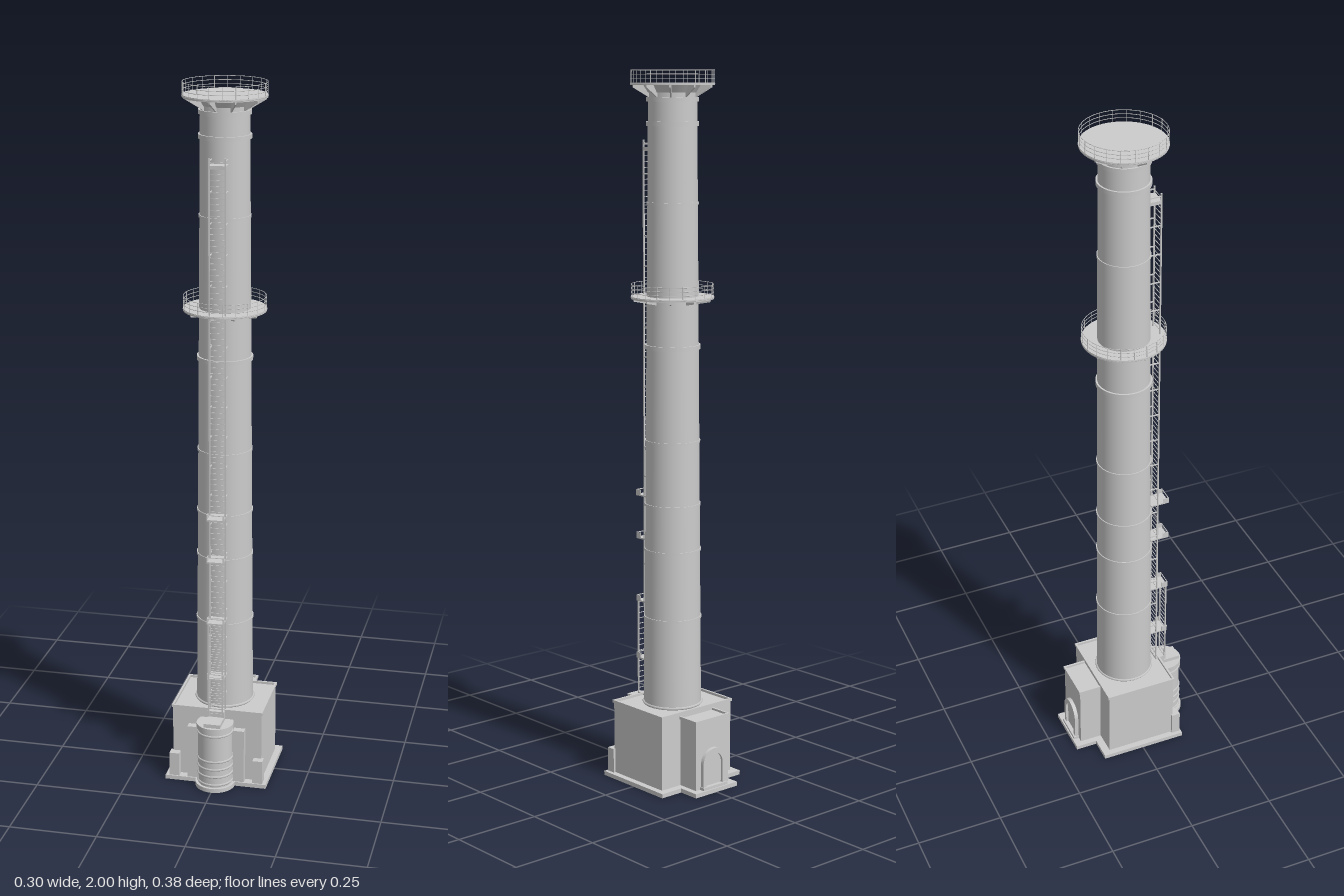
import * as THREE from 'three';

const mat = new THREE.MeshStandardMaterial({ color: 0xcccccc, side: THREE.DoubleSide });

function add(parent, name, geo, x = 0, y = 0, z = 0) {
  const m = new THREE.Mesh(geo, mat);
  m.name = name;
  m.position.set(x, y, z);
  parent.add(m);
  return m;
}

// Box given by its limits on each axis
function block(parent, name, x0, x1, y0, y1, z0, z1) {
  return add(parent, name, new THREE.BoxGeometry(x1 - x0, y1 - y0, z1 - z0),
    (x0 + x1) / 2, (y0 + y1) / 2, (z0 + z1) / 2);
}

function ring(parent, name, r, tube, y, z = 0) {
  const m = add(parent, name, new THREE.TorusGeometry(r, tube, 5, 56), 0, y, z);
  m.rotation.x = Math.PI / 2;
  return m;
}

// Extrude a plan outline (x, -z) upwards
function plan(parent, name, shape, y, h) {
  const geo = new THREE.ExtrudeGeometry(shape, { depth: h, bevelEnabled: false, curveSegments: 32 });
  geo.rotateX(-Math.PI / 2);
  return add(parent, name, geo, 0, y, 0);
}

function outline(points) {
  return new THREE.Shape(points.map(([x, z]) => new THREE.Vector2(x, -z)));
}

// T-shaped plan of the building with its rear annex
const teePlan = (w, front, back, aw, aback) => [
  [-w, front], [w, front], [w, back], [aw, back], [aw, aback], [-aw, aback], [-aw, back], [-w, back]];

function platform(parent, name, y, rInner, solid, drop) {
  const g = new THREE.Group();
  g.name = name;
  g.position.y = y;
  parent.add(g);
  const R = 0.115;
  const deck = new THREE.Shape().absarc(0, 0, R, 0, Math.PI * 2);
  if (!solid) deck.holes.push(new THREE.Path().absarc(0, 0, rInner - 0.002, 0, Math.PI * 2));
  plan(g, 'deck', deck, 0, 0.007);
  ring(g, 'deckEdge', R - 0.001, 0.002, 0.004);
  // Guard rail
  [0.018, 0.029, 0.04].forEach(h => ring(g, 'guardRail', R - 0.001, 0.0009, h));
  const n = 20;
  // Triangular support bracket
  const tri = new THREE.Shape([[rInner - 0.004, 0], [R - 0.004, 0], [R - 0.004, -0.006], [rInner - 0.004, -drop]]
    .map(p => new THREE.Vector2(...p)));
  const bracketGeo = new THREE.ExtrudeGeometry(tri, { depth: 0.004, bevelEnabled: false });
  bracketGeo.translate(0, 0, -0.002);
  for (let i = 0; i < n; i++) {
    const a = (i + 0.5) / n * Math.PI * 2;
    add(g, 'railPost', new THREE.CylinderGeometry(0.0009, 0.0009, 0.036, 5),
      Math.cos(a) * (R - 0.001), 0.023, Math.sin(a) * (R - 0.001));
    if (i % 2 === 0) add(g, 'bracket', bracketGeo).rotation.y = a;
  }
  return g;
}

function ladder(parent, name, y0, y1, z, half) {
  const g = new THREE.Group();
  g.name = name;
  parent.add(g);
  for (const s of [-1, 1]) block(g, 'ladderRail', s * half - 0.002, s * half + 0.002, y0, y1, z - 0.002, z + 0.002);
  for (let y = y0 + 0.01; y < y1; y += 0.016)
    block(g, 'rung', -half, half, y - 0.0008, y + 0.0008, z - 0.0008, z + 0.0008);
  return g;
}

export function createModel() {
  const model = new THREE.Group();
  model.name = 'chimney';

  // Plinth with an open centre
  const pl = outline(teePlan(0.148, 0.13, -0.125, 0.078, -0.188));
  pl.holes.push(new THREE.Path().absarc(0, 0, 0.081, 0, Math.PI * 2));
  plan(model, 'plinth', pl, 0, 0.012);
  add(model, 'tankPlinth', new THREE.CylinderGeometry(0.057, 0.057, 0.012, 40), 0, 0.006, 0.13);

  // Base building: hollow box, roof with low parapet
  const house = new THREE.Group();
  house.name = 'baseBuilding';
  model.add(house);
  const body = outline([[-0.13, 0.105], [0.13, 0.105], [0.13, -0.103], [-0.13, -0.103]]);
  body.holes.push(new THREE.Path().absarc(0, 0, 0.08, 0, Math.PI * 2));
  plan(house, 'mainBlock', body, 0.012, 0.208);
  block(house, 'rearAnnex', -0.061, 0.061, 0.012, 0.208, -0.168, -0.1);
  const lip = (name, x0, x1, z0, z1, y, open) => {
    const t = 0.006;
    for (const x of [x0, x1 - t]) block(house, name, x, x + t, y, y + 0.008, z0, z1);
    block(house, name, x0, x1, y, y + 0.008, z0, z0 + t);
    if (!open) block(house, name, x0, x1, y, y + 0.008, z1 - t, z1);
  };
  lip('parapet', -0.133, 0.133, -0.106, 0.108, 0.219, false);
  lip('annexParapet', -0.064, 0.064, -0.171, -0.1, 0.206, true);

  // Front buttresses, mirrored
  for (const s of [-1, 1]) {
    const pair = (a, b) => [Math.min(s * a, s * b), Math.max(s * a, s * b)];
    block(house, 'outerButtress', ...pair(0.108, 0.137), 0.012, 0.082, 0.1, 0.126);
    block(house, 'innerButtress', ...pair(0.05, 0.083), 0.012, 0.172, 0.1, 0.126);
  }

  // Arched rear door with surround and step
  const arch = (w, h) => {
    const s = new THREE.Shape();
    s.moveTo(-w, 0).lineTo(w, 0).lineTo(w, h - w).absarc(0, h - w, w, 0, Math.PI).lineTo(-w, 0);
    return s;
  };
  const frame = arch(0.042, 0.115);
  frame.holes.push(arch(0.03, 0.1));
  add(house, 'doorSurround', new THREE.ExtrudeGeometry(frame, { depth: 0.012, bevelEnabled: false }), 0, 0.012, -0.179);
  add(house, 'door', new THREE.ExtrudeGeometry(arch(0.031, 0.101), { depth: 0.005, bevelEnabled: false }), 0, 0.012, -0.172);
  block(house, 'doorStep', -0.045, 0.045, 0.012, 0.02, -0.184, -0.168);

  // Round tank in front
  const tank = new THREE.Group();
  tank.name = 'frontTank';
  tank.position.z = 0.13;
  model.add(tank);
  add(tank, 'tankBody', new THREE.CylinderGeometry(0.049, 0.049, 0.176, 40), 0, 0.1, 0);
  add(tank, 'tankCap', new THREE.CylinderGeometry(0.053, 0.053, 0.014, 40), 0, 0.19, 0);
  [0.02, 0.045, 0.068, 0.092, 0.172].forEach(y => ring(tank, 'tankBand', 0.049, 0.0035, y));
  block(tank, 'tankHatch', -0.024, 0.024, 0.19, 0.208, -0.012, 0.043);
  block(tank, 'tankLink', -0.024, 0.024, 0.18, 0.225, -0.035, -0.008);

  // Tapering shaft, open at the foot
  const radiusAt = y => 0.0815 - 0.0145 * Math.max(0, y - 0.2) / 1.72;
  const joints = [0.475, 0.67, 0.80, 0.98, 1.245, 1.64, 1.855, 1.92];
  const prof = [[0.08, 0], [0.0815, 0.2], ...joints.map(y => [radiusAt(y), y]), [0.067, 1.958]];
  add(model, 'shaft', new THREE.LatheGeometry(prof.map(p => new THREE.Vector2(...p)), 56));
  ring(model, 'shaftFoot', 0.082, 0.004, 0.224);
  joints.forEach((y, i) => {
    const r = radiusAt(y) + (i === 4 || i > 5 ? 0.005 : 0.0025);
    add(model, 'shaftBand', new THREE.CylinderGeometry(r, r, i === 4 || i > 5 ? 0.012 : 0.007, 56), 0, y, 0);
  });

  // Galleries
  platform(model, 'middleGallery', 1.378, radiusAt(1.378), false, 0.014);
  const top = platform(model, 'topGallery', 1.958, 0.068, true, 0.034);
  add(top, 'topCollar', new THREE.CylinderGeometry(0.082, 0.069, 0.02, 56, 1, true), 0, -0.01, 0);

  // Climbing ladder with backing duct, hoops and stand-offs
  const climb = new THREE.Group();
  climb.name = 'climbingLadder';
  model.add(climb);
  ladder(climb, 'mainLadder', 0.22, 1.81, 0.096, 0.022);
  for (let y = 0.27; y < 1.8; y += 0.085)
    for (const s of [-1, 1])
      block(climb, 'standOff', s * 0.022 - 0.0015, s * 0.022 + 0.0015, y, y + 0.003, radiusAt(y) - 0.012, 0.097);
  block(climb, 'topBracket', -0.024, 0.024, 1.78, 1.79, 0.062, 0.098);
  ladder(climb, 'lowerLadder', 0.21, 0.5, 0.126, 0.02);
  for (const y of [0.33, 0.5, 0.685, 0.81]) {
    block(climb, 'restPlatform', -0.024, 0.024, y - 0.004, y, 0.075, 0.13);
    for (const s of [-1, 1])
      block(climb, 'restRail', s * 0.023 - 0.001, s * 0.023 + 0.001, y, y + 0.014, 0.112, 0.13);
    block(climb, 'restFrontRail', -0.024, 0.024, y + 0.012, y + 0.014, 0.128, 0.13);
  }
  return model;
}
